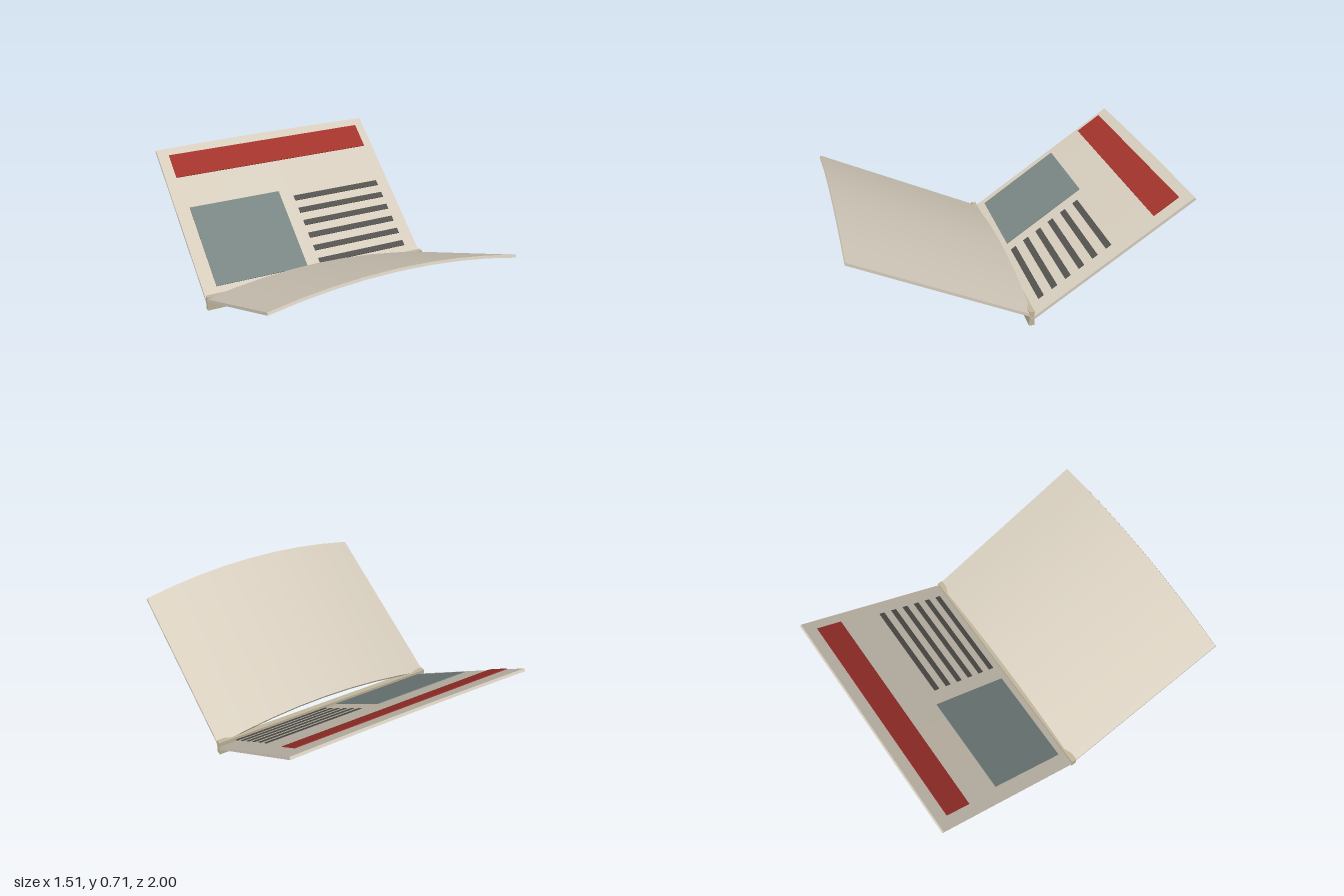
import * as THREE from 'three';

const paper = new THREE.MeshStandardMaterial({ color: 0xd8cfbf });
const binding = new THREE.MeshStandardMaterial({ color: 0xc4b99f });
const red = new THREE.MeshStandardMaterial({ color: 0xa5342e });
const slate = new THREE.MeshStandardMaterial({ color: 0x7a8785 });
const ink = new THREE.MeshStandardMaterial({ color: 0x54534f });

// Sloping slab whose underside runs from (zA, yA) to (zB, yB), zA < zB, arched across x by bulge
function slab(name, material, [xA, xB], [zA, yA], [zB, yB], thickness, bulge = 0) {
  const width = xB - xA;
  const tilt = -Math.atan2(yB - yA, zB - zA);
  const geometry = new THREE.BoxGeometry(width, thickness, Math.hypot(zB - zA, yB - yA), bulge ? 8 : 1, 1, 1);
  geometry.translate(0, thickness / 2, 0);
  geometry.rotateX(tilt);
  const p = geometry.attributes.position;
  for (let i = 0; i < p.count; i++) {
    const u = p.getX(i) / (width / 2);
    p.setY(i, p.getY(i) + bulge * (1 - u * u));
  }
  geometry.computeVertexNormals();
  geometry.translate((xA + xB) / 2, (yA + yB) / 2, (zA + zB) / 2);
  const mesh = new THREE.Mesh(geometry, material);
  mesh.name = name;
  return mesh;
}

export function createModel() {
  const group = new THREE.Group();
  group.name = 'openFoldedPaper';
  const half = 0.755;

  // Spine the two leaves open from
  const spine = new THREE.Mesh(new THREE.BoxGeometry(half * 2, 0.09, 0.032), binding);
  spine.name = 'spine';
  spine.position.set(0, 0.045, -0.042);
  group.add(spine);

  // Arched front leaf and nearly flat back leaf
  group.add(slab('frontLeaf', paper, [-half, half], [-0.04, 0.055], [1, 0.535], 0.017, 0.085));
  group.add(slab('backLeaf', paper, [-half, half], [-1, 0.693], [-0.045, 0.03], 0.017, 0.008));

  // Printed blocks lying just above the back leaf
  const rise = (z) => 0.111 + 0.7 * (-0.105 - z);
  const block = (name, material, xs, zA, zB) =>
    group.add(slab(name, material, xs, [zA, rise(zA)], [zB, rise(zB)], 0.004));
  block('headlineBand', red, [-0.687, 0.687], -0.925, -0.778);
  block('pictureBlock', slate, [-0.668, -0.048], -0.583, -0.105);
  for (let i = 0; i < 6; i++) {
    const z = -0.123 - i * 0.08;
    block('textLine' + (i + 1), ink, [0.042, 0.662], z - 0.016, z + 0.016);
  }
  return group;
}
